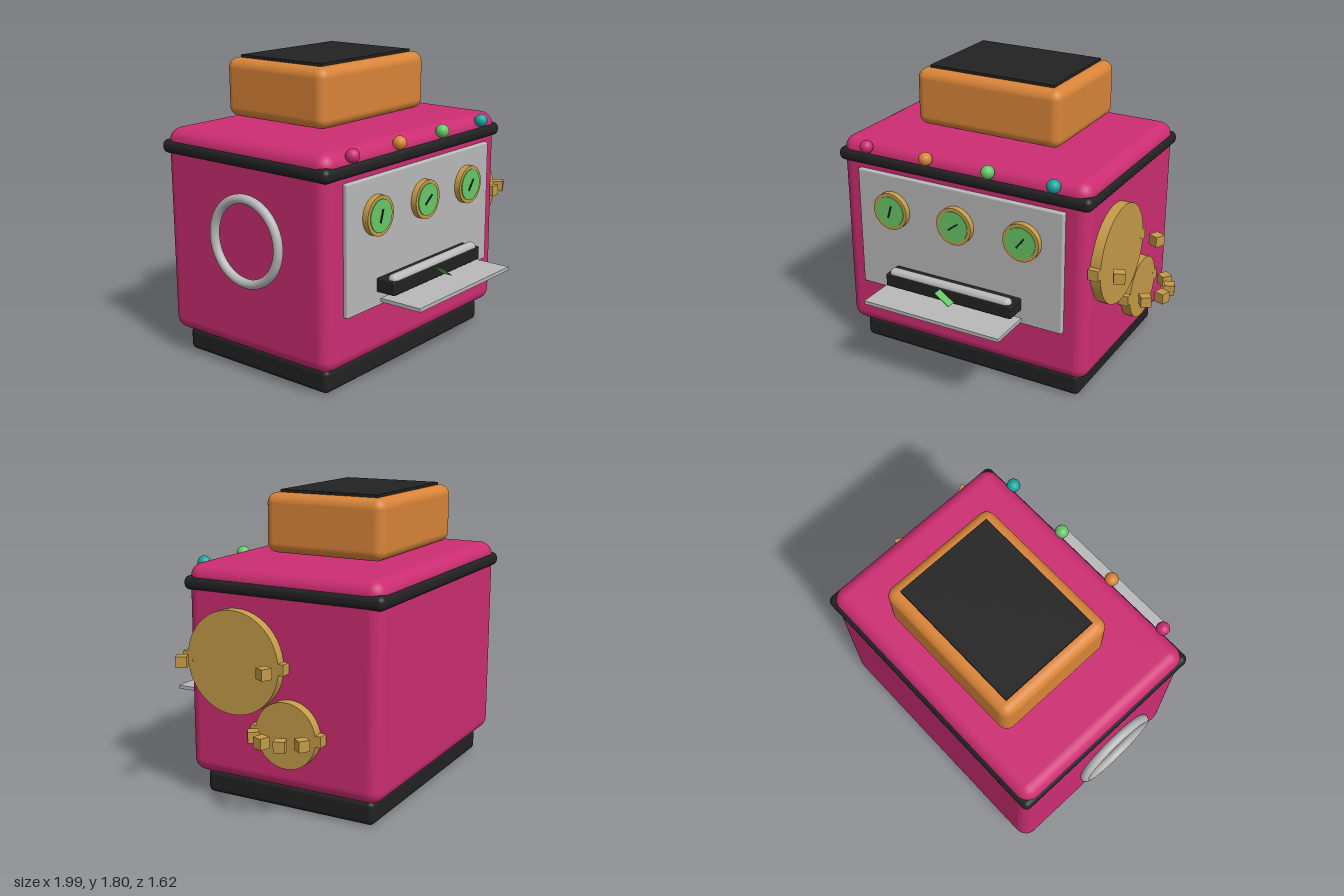
import * as THREE from 'three';
import { RoundedBoxGeometry } from 'three/addons/geometries/RoundedBoxGeometry.js';

const mat = (name, color) => {
  const m = new THREE.MeshStandardMaterial({ color });
  m.name = name;
  return m;
};

export function createModel() {
  const model = new THREE.Group();
  model.name = 'machine';

  const magenta = mat('magenta', 0xcc2d72);
  const black = mat('black', 0x222222);
  const orange = mat('orange', 0xd98438);
  const brass = mat('brass', 0xc49b48);
  const silver = mat('silver', 0xb9b9b9);
  const green = mat('green', 0x66c766);
  const teal = mat('teal', 0x1aa39c);

  const add = (name, geometry, material, x, y, z, parent = model) => {
    const mesh = new THREE.Mesh(geometry, material);
    mesh.name = name;
    mesh.position.set(x, y, z);
    parent.add(mesh);
    return mesh;
  };

  // Box given by its extents on each axis, rounded when r > 0
  const block = (name, material, [x0, x1], [y0, y1], [z0, z1], r = 0) => {
    const w = x1 - x0, h = y1 - y0, d = z1 - z0;
    const geometry = r ? new RoundedBoxGeometry(w, h, d, 5, r) : new THREE.BoxGeometry(w, h, d);
    return add(name, geometry, material, (x0 + x1) / 2, (y0 + y1) / 2, (z0 + z1) / 2);
  };

  // Main case
  block('base', black, [-0.86, 0.67], [0, 0.145], [-0.72, 0.39], 0.035);
  block('body', magenta, [-0.93, 0.74], [0.145, 1.4], [-0.79, 0.46], 0.08);
  block('trimBand', black, [-0.945, 0.755], [1.245, 1.328], [-0.808, 0.475], 0.036);

  // Raised box above the case
  block('topBox', orange, [-0.583, 0.39], [1.435, 1.787], [-0.62, 0.145], 0.06);
  block('topBoxLid', black, [-0.515, 0.32], [1.775, 1.803], [-0.553, 0.075]);

  // Front panel with its dispensing slot
  block('frontPanel', silver, [-0.79, 0.6], [0.46, 1.225], [0.44, 0.488], 0.01);
  block('slot', black, [-0.53, 0.335], [0.548, 0.63], [0.46, 0.612], 0.008);
  block('slotLip', silver, [-0.515, 0.32], [0.535, 0.662], [0.543, 0.608], 0.03);
  block('tray', silver, [-0.555, 0.365], [0.508, 0.53], [0.535, 0.808]);
  const ticket = add('ticket', new THREE.BoxGeometry(0.115, 0.004, 0.11), green, -0.097, 0.59, 0.615);
  ticket.rotation.z = -0.6;

  // Gauges: rim, dial and needle
  [[-0.54, 1.28], [-0.095, 0.65], [0.35, 0.92]].forEach(([x, angle]) => {
    const gauge = new THREE.Group();
    gauge.name = 'gauge';
    gauge.position.set(x, 1.005, 0);
    model.add(gauge);
    const rim = add('gaugeRim', new THREE.CylinderGeometry(0.117, 0.117, 0.05, 40), brass, 0, 0, 0.5, gauge);
    const dial = add('gaugeDial', new THREE.CylinderGeometry(0.096, 0.096, 0.008, 40), green, 0, 0, 0.526, gauge);
    rim.rotation.x = dial.rotation.x = Math.PI / 2;
    const needle = add('gaugeNeedle', new THREE.BoxGeometry(0.08, 0.01, 0.006), black, 0, 0, 0.532, gauge);
    needle.rotation.z = angle;
  });

  // Row of signal lamps along the front top edge
  [magenta, orange, green, teal].forEach((m, i) => {
    add('lamp', new THREE.SphereGeometry(0.041, 24, 16), m, -0.725 + i * 0.418, 1.371, 0.475);
  });

  // Ring handle on the -x side
  const ring = add('ringHandle', new THREE.TorusGeometry(0.248, 0.028, 16, 48), silver, -0.972, 0.838, -0.1);
  ring.rotation.y = Math.PI / 2;

  // Gear wheels on the +x side; teeth stand around a horizontal circle
  const gear = (y, z, radius, toothAngles) => {
    const group = new THREE.Group();
    group.name = 'gear';
    group.position.set(0.768, y, z);
    model.add(group);
    const wheel = add('gearWheel', new THREE.CylinderGeometry(radius, radius, 0.064, 48), brass, 0, 0, 0, group);
    wheel.rotation.z = Math.PI / 2;
    toothAngles.forEach((degrees) => {
      const a = THREE.MathUtils.degToRad(degrees);
      const tooth = add('gearTooth', new THREE.BoxGeometry(0.065, 0.065, 0.065), brass,
        Math.cos(a) * radius, 0, Math.sin(a) * radius, group);
      tooth.rotation.y = -a;
    });
  };
  gear(0.868, 0.11, 0.304, [-90, -64, 64, 90]);
  gear(0.492, -0.235, 0.194, [-90, -54, -18, 18, 54, 90]);

  return model;
}
